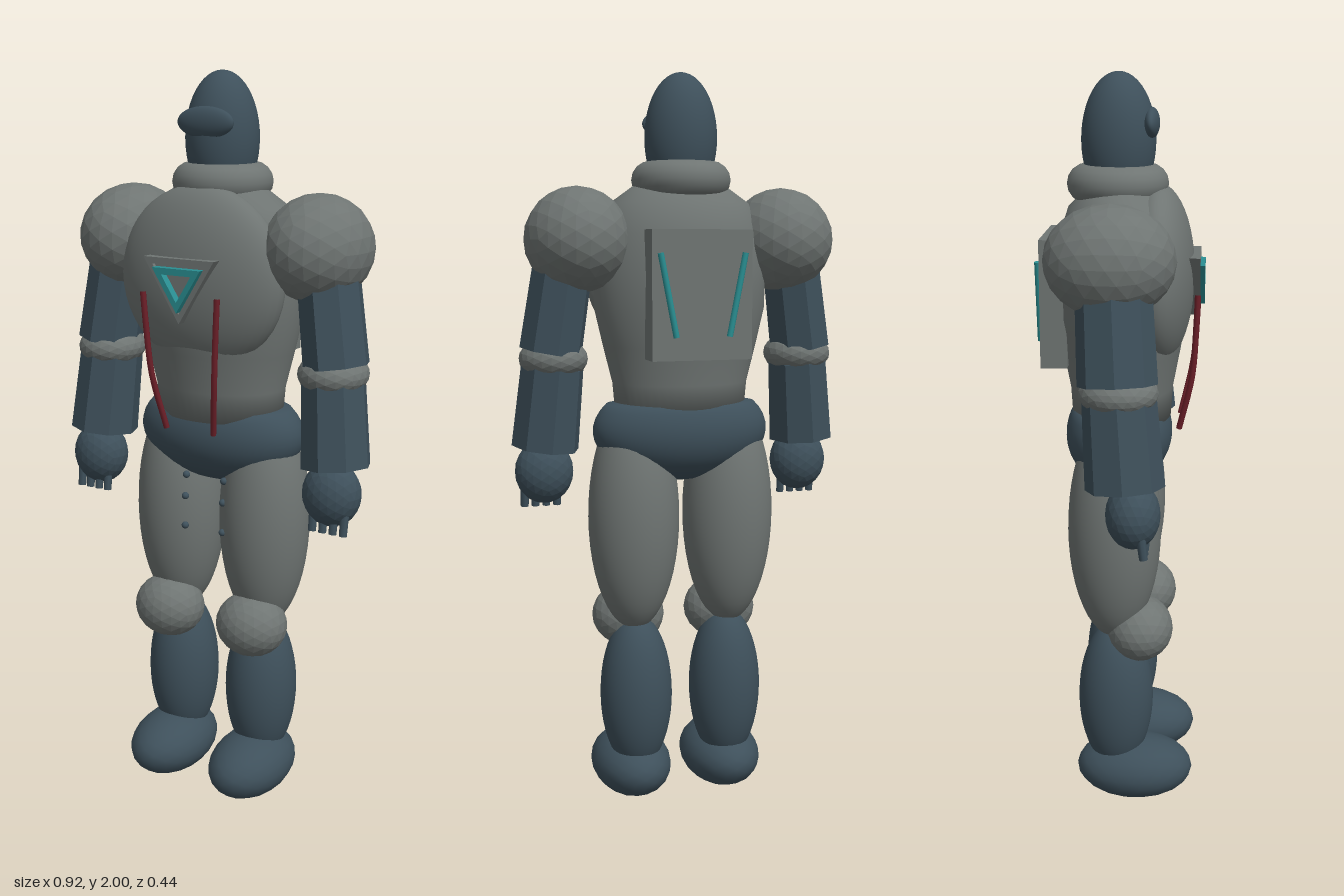
import * as THREE from 'three';

const mat = (name, color, flatShading = false) => {
  const m = new THREE.MeshStandardMaterial({ color, flatShading });
  m.name = name;
  return m;
};

export function createModel() {
  const model = new THREE.Group();
  model.name = 'armouredRobot';
  const grey = mat('armourGrey', 0x6f7573);
  const greyFacet = mat('facetedGrey', 0x6f7573, true);
  const dark = mat('slateBlue', 0x3e505b);
  const darkFacet = mat('facetedSlateBlue', 0x3e505b, true);
  const teal = mat('glowTeal', 0x2a8f92);
  const red = mat('cableRed', 0x6e2029);

  const add = (name, geometry, material, pos = [0, 0, 0], scale = [1, 1, 1]) => {
    const m = new THREE.Mesh(geometry, material);
    m.name = name;
    m.position.set(...pos);
    m.scale.set(...scale);
    model.add(m);
    return m;
  };
  const ball = new THREE.SphereGeometry(1, 36, 24);
  const ico = new THREE.IcosahedronGeometry(1, 3);
  const lathe = (pts) => new THREE.LatheGeometry(pts.map((p) => new THREE.Vector2(...p)), 48);

  // Cylinder running from a to b, optionally squashed along its local z
  const rod = (name, a, b, ra, rb, sides, material, depth = 1) => {
    const A = new THREE.Vector3(...a), B = new THREE.Vector3(...b);
    const dir = B.clone().sub(A);
    const g = new THREE.CylinderGeometry(rb, ra, dir.length(), sides);
    const m = add(name, g, material, A.clone().add(B).multiplyScalar(0.5).toArray(), [1, 1, depth]);
    m.quaternion.setFromUnitVectors(new THREE.Vector3(0, 1, 0), dir.normalize());
    return m;
  };

  // Head, visor and collar
  add('head', ball, dark, [0, 1.83, -0.012], [0.097, 0.17, 0.097]);
  add('visor', ball, dark, [0, 1.872, 0.072], [0.083, 0.04, 0.022]);
  const collar = add('collar', new THREE.TorusGeometry(0.083, 0.05, 16, 40), grey, [0, 1.72, -0.014]);
  collar.rotation.x = Math.PI / 2;

  // Torso, chest plate and pelvis
  const torso = [[0, 1.1], [0.18, 1.1], [0.187, 1.18], [0.212, 1.28], [0.235, 1.38], [0.238, 1.48],
    [0.225, 1.58], [0.19, 1.66], [0.12, 1.71], [0, 1.725]];
  add('torso', lathe(torso), grey, [0, 0, -0.003], [1, 1, 0.74]);
  add('chestPlate', ball, grey, [0, 1.48, 0.09], [0.242, 0.24, 0.1]);
  const pelvis = [];
  for (let i = 0; i <= 14; i++) {
    const t = -Math.PI / 2 + (i / 14) * (Math.PI / 2 + 0.56);
    pelvis.push([0.245 * Math.cos(t) + 1e-5, 1.05 + 0.14 * Math.sin(t)]);
  }
  pelvis.push([0.17, 1.13]);
  add('pelvis', lathe(pelvis), dark, [0, 0, -0.01], [1, 1, 0.59]);

  // Triangular chest emblem: backing plate and raised ring
  const triangle = (Type, w, top, bottom) => {
    const s = new Type();
    s.moveTo(-w, top);
    s.lineTo(0, bottom);
    s.lineTo(w, top);
    s.closePath();
    return s;
  };
  const extrude = (shape, depth) => new THREE.ExtrudeGeometry(shape, { depth, bevelEnabled: false });
  const frame = triangle(THREE.Shape, 0.105, 1.542, 1.375);
  frame.holes.push(triangle(THREE.Path, 0.078, 1.525, 1.4));
  add('emblemFrame', extrude(frame, 0.045), grey, [0, 0, 0.16]);
  add('emblemPlate', extrude(triangle(THREE.Shape, 0.08, 1.527, 1.398), 0.035), grey, [0, 0, 0.16]);
  const ring = triangle(THREE.Shape, 0.072, 1.518, 1.405);
  ring.holes.push(triangle(THREE.Path, 0.044, 1.501, 1.432));
  add('emblemRing', extrude(ring, 0.025), teal, [0, 0, 0.192]);

  // Back unit
  add('backUnit', new THREE.BoxGeometry(0.27, 0.335, 0.07), grey, [0, 1.422, -0.173]);

  for (const s of [1, -1]) {
    const side = s > 0 ? 'left' : 'right';

    // Front cable and back light bar
    const cable = new THREE.CatmullRomCurve3([[0.112, 1.45, 0.2], [0.106, 1.36, 0.197],
      [0.096, 1.23, 0.188], [0.073, 1.08, 0.155]].map(([x, y, z]) => new THREE.Vector3(s * x, y, z)));
    add(side + 'Cable', new THREE.TubeGeometry(cable, 12, 0.008, 8), red);
    rod(side + 'LightBar', [s * 0.072, 1.315, -0.214], [s * 0.114, 1.53, -0.214], 0.008, 0.008, 10, teal);

    // Arm
    add(side + 'Shoulder', ico, greyFacet, [s * 0.285, 1.563, -0.014], [0.14, 0.14, 0.165]);
    rod(side + 'UpperArm', [s * 0.355, 1.27, 0.01], [s * 0.318, 1.52, -0.003], 0.085, 0.08, 8, darkFacet, 1.18);
    add(side + 'Elbow', ico, greyFacet, [s * 0.348, 1.25, 0.012], [0.092, 0.06, 0.1]);
    rod(side + 'Forearm', [s * 0.37, 1.01, 0.03], [s * 0.35, 1.23, 0.014], 0.092, 0.085, 8, darkFacet, 1.1);
    add(side + 'Hand', ico, darkFacet, [s * 0.37, 0.94, 0.05], [0.08, 0.088, 0.07]);
    for (let i = 0; i < 4; i++) {
      const x = s * (0.33 + 0.03 * i);
      rod(side + 'Finger' + (i + 1), [x, 0.84, 0.08], [x, 0.92, 0.07], 0.011, 0.013, 8, dark);
    }

    // Leg
    add(side + 'Thigh', ball, grey, [s * 0.135, 0.815, -0.014], [0.125, 0.32, 0.126]);
    add(side + 'Knee', ico, greyFacet, [s * 0.135, 0.52, 0.055], [0.102, 0.09, 0.092]);
    add(side + 'Shin', ball, dark, [s * 0.13, 0.31, -0.011], [0.1, 0.225, 0.104]);
    add(side + 'Foot', ico, dark, [s * 0.133, 0.09, 0.042], [0.11, 0.09, 0.163]);

    // Thigh bolts
    [[0.93, 0.08], [0.87, 0.086], [0.785, 0.088]].forEach(([y, z], i) =>
      add(side + 'Bolt' + (i + 1), ball, dark, [s * 0.06, y, z], [0.01, 0.01, 0.01]));
  }
  return model;
}
